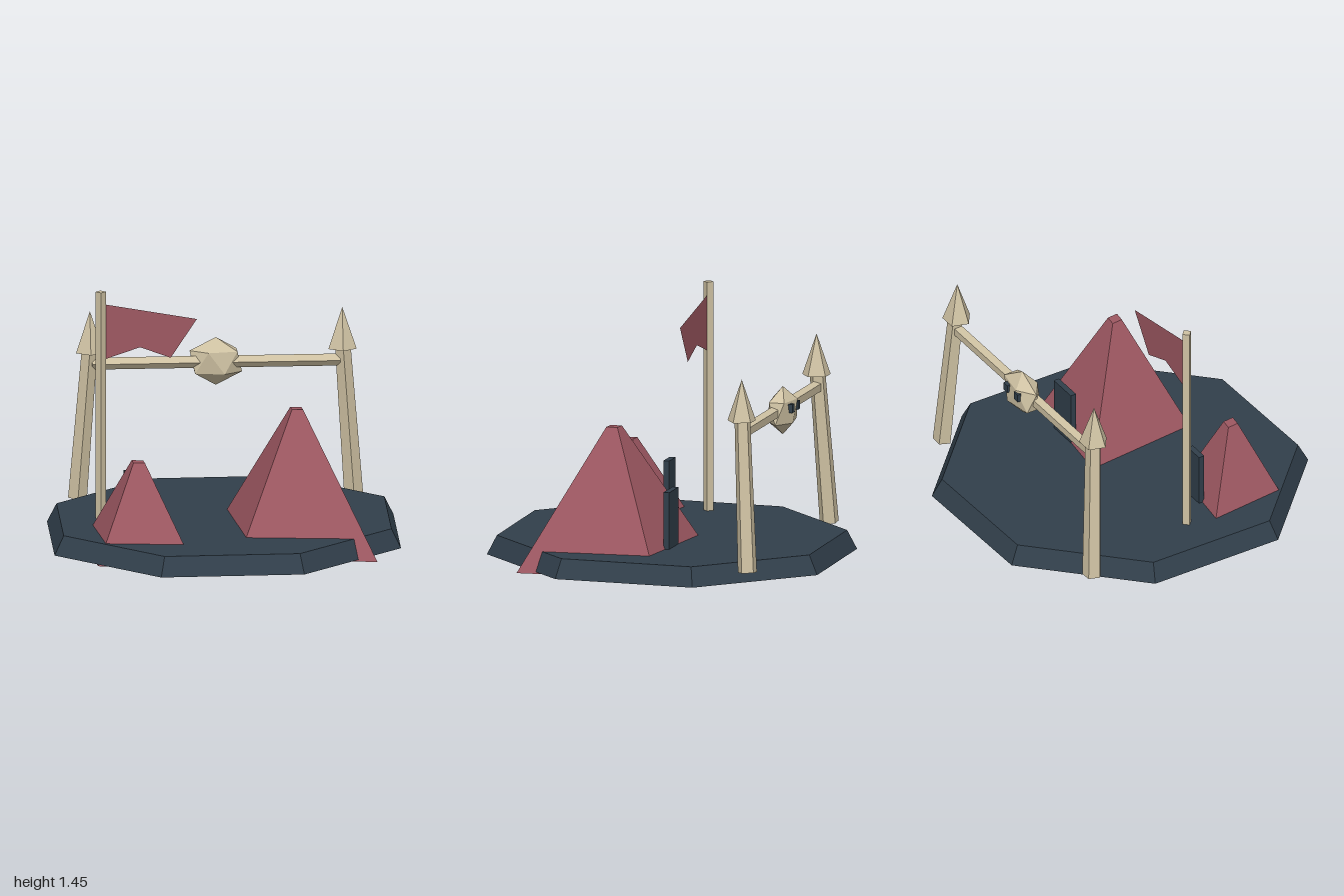
import * as THREE from 'three';
import { ConvexGeometry } from 'three/addons/geometries/ConvexGeometry.js';

const V = (x, y, z) => new THREE.Vector3(x, y, z);

export function createModel() {
  const group = new THREE.Group();
  const material = (name, color) => {
    const m = new THREE.MeshStandardMaterial({ color, flatShading: true });
    m.name = name;
    return m;
  };
  const slate = material('slate', 0x313f4b);
  const cloth = material('red cloth', 0x9e5862);
  const bone = material('bone', 0xcfc2a3);
  cloth.side = THREE.DoubleSide;

  const add = (name, geometry, mat, x = 0, y = 0, z = 0) => {
    const mesh = new THREE.Mesh(geometry, mat);
    mesh.name = name;
    mesh.position.set(x, y, z);
    group.add(mesh);
    return mesh;
  };

  // Tapered solid from a point-symmetric outline: half the corners, the rest mirrored
  const frustum = (half, y0, y1, topScale) => {
    const points = [];
    for (const [x, z] of half) {
      for (const s of [1, -1]) {
        points.push(V(s * x, y0, s * z), V(s * x * topScale, y1, s * z * topScale));
      }
    }
    return new ConvexGeometry(points);
  };

  // Eight-sided ground slab
  add('groundSlab', frustum([[0.43, -1], [1, -0.43], [0.985, 0.393], [0.39, 0.985]], 0.01, 0.12, 0.946), slate);

  // Tents with a door slab at the back
  add('largeTent', frustum([[0.43, 0.45], [0.36, -0.355]], 0, 0.8, 0.08), cloth, 0.4, 0, 0.222);
  add('largeTentDoor', new THREE.BoxGeometry(0.18, 0.35, 0.035), slate, 0.4, 0.275, -0.117);
  add('smallTent', frustum([[0.3, 0.315], [0.247, -0.247]], 0, 0.55, 0.118), cloth, -0.52, 0, 0.416);
  add('smallTentDoor', new THREE.BoxGeometry(0.12, 0.34, 0.035), slate, -0.525, 0.27, 0.178);

  // Flag on a square pole
  add('flagPole', new THREE.CylinderGeometry(0.03, 0.03, 1.35, 4), bone, -0.705, 0.775, 0);
  const flag = new THREE.Shape([
    [-0.69, 1.376], [-0.155, 1.28], [-0.305, 1.055], [-0.48, 1.12], [-0.69, 1.05],
  ].map(([x, y]) => new THREE.Vector2(x, y)));
  add('flag', new THREE.ShapeGeometry(flag), cloth);

  // Gate: leaning posts with pointed caps
  for (const [side, s] of [['left', 1], ['right', -1]]) {
    const foot = V(s * 0.79, 0.075, -0.695);
    const head = V(s * 0.725, 0.95, -0.645);
    const axis = head.clone().sub(foot);
    const post = add(side + 'Post', new THREE.CylinderGeometry(0.047, 0.057, axis.length(), 5), bone);
    post.position.copy(foot).add(head).multiplyScalar(0.5);
    post.quaternion.setFromUnitVectors(V(0, 1, 0), axis.normalize());
    add(side + 'PostCap', new THREE.ConeGeometry(0.085, 0.24, 5), bone, s * 0.722, 1.06, -0.64);
  }
  const bar = add('crossbar', new THREE.CylinderGeometry(0.037, 0.037, 1.42, 5), bone, 0, 0.873, -0.645);
  bar.rotation.z = Math.PI / 2;

  // Flattened twenty-faced skull in the middle of the crossbar
  const skull = [V(0, 0.14, 0), V(0, -0.14, 0)];
  for (let i = 0; i < 5; i++) {
    const a = (i / 5) * Math.PI * 2;
    const x = 0.15 * Math.cos(a), z = 0.077 * Math.sin(a);
    skull.push(V(-x, 0.063, z), V(x, -0.063, z));
  }
  add('skull', new ConvexGeometry(skull), bone, 0, 0.87, -0.662);
  for (const s of [1, -1]) {
    add(s > 0 ? 'leftEye' : 'rightEye', new THREE.BoxGeometry(0.04, 0.05, 0.05), slate, s * 0.055, 0.895, -0.717);
  }

  return group;
}
